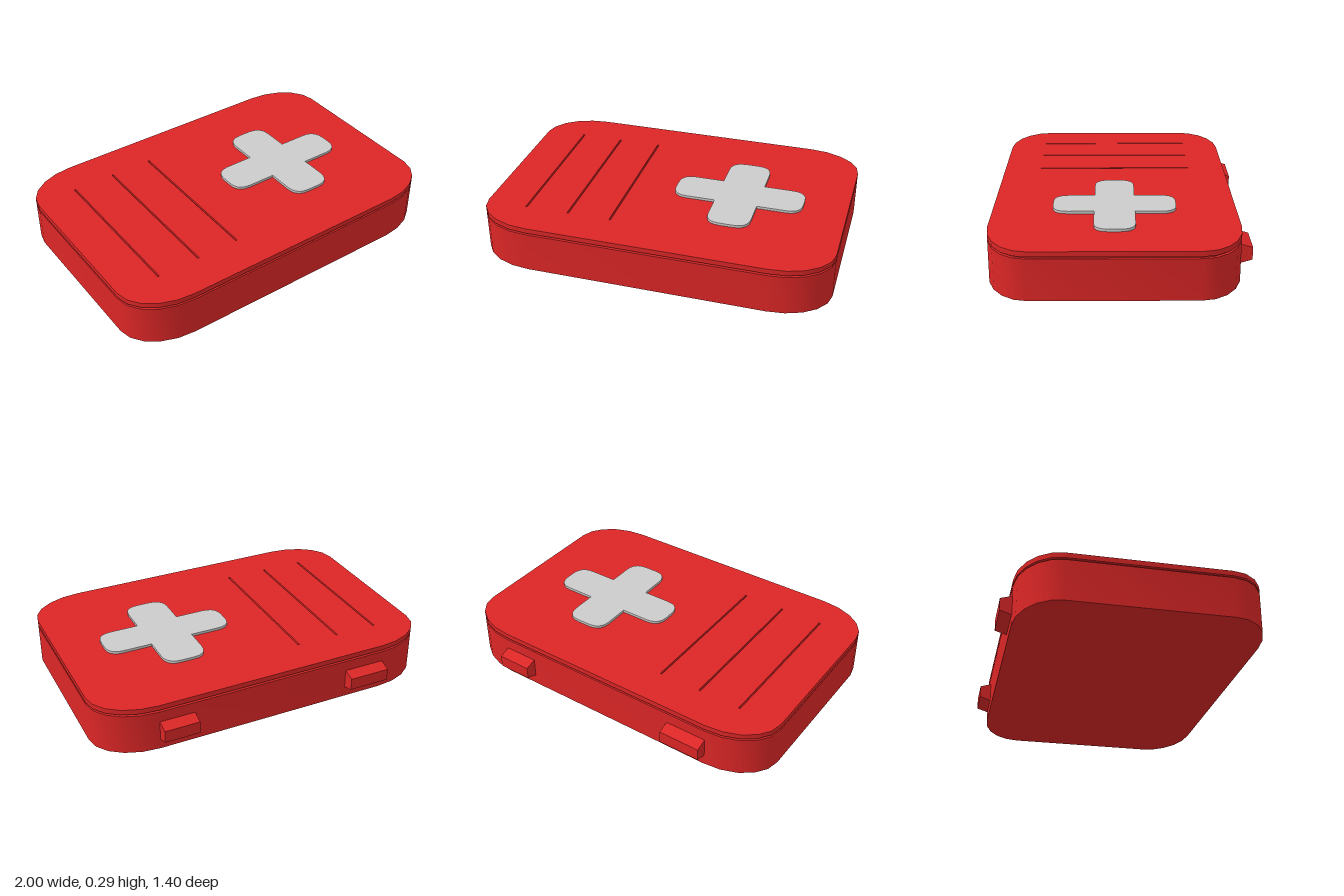
import * as THREE from 'three';
import { toCreasedNormals } from 'three/addons/utils/BufferGeometryUtils.js';

const CENTER_Z = 0.03;

// Closed outline with elliptical corners; shape y becomes model z
function roundedOutline(halfX, halfZ, rx, rz) {
  const points = [];
  const steps = 5;
  const corners = [[1, 1], [-1, 1], [-1, -1], [1, -1]];
  corners.forEach(([sx, sz], quarter) => {
    for (let i = 0; i <= steps; i++) {
      const a = (quarter + i / steps) * Math.PI / 2;
      points.push(new THREE.Vector2(
        sx * (halfX - rx) + rx * Math.cos(a),
        CENTER_Z + sz * (halfZ - rz) + rz * Math.sin(a)));
    }
  });
  return new THREE.Shape(points);
}

// Horizontal slab between two heights
function slab(name, shape, y0, y1, material) {
  const geometry = new THREE.ExtrudeGeometry(shape, { depth: y1 - y0, bevelEnabled: false, curveSegments: 5 });
  geometry.rotateX(Math.PI / 2);
  geometry.translate(0, y1, 0);
  const mesh = new THREE.Mesh(toCreasedNormals(geometry, 0.6), material);
  mesh.name = name;
  return mesh;
}

// Plus-shaped outline with rounded arm ends
function crossOutline(cx, cz, reachX, reachZ, halfX, halfZ, r) {
  const s = new THREE.Shape();
  s.moveTo(cx + halfX, cz + halfZ);
  s.lineTo(cx + halfX, cz + reachZ - r);
  s.quadraticCurveTo(cx + halfX, cz + reachZ, cx + halfX - r, cz + reachZ);
  s.lineTo(cx - halfX + r, cz + reachZ);
  s.quadraticCurveTo(cx - halfX, cz + reachZ, cx - halfX, cz + reachZ - r);
  s.lineTo(cx - halfX, cz + halfZ);
  s.lineTo(cx - reachX + r, cz + halfZ);
  s.quadraticCurveTo(cx - reachX, cz + halfZ, cx - reachX, cz + halfZ - r);
  s.lineTo(cx - reachX, cz - halfZ + r);
  s.quadraticCurveTo(cx - reachX, cz - halfZ, cx - reachX + r, cz - halfZ);
  s.lineTo(cx - halfX, cz - halfZ);
  s.lineTo(cx - halfX, cz - reachZ + r);
  s.quadraticCurveTo(cx - halfX, cz - reachZ, cx - halfX + r, cz - reachZ);
  s.lineTo(cx + halfX - r, cz - reachZ);
  s.quadraticCurveTo(cx + halfX, cz - reachZ, cx + halfX, cz - reachZ + r);
  s.lineTo(cx + halfX, cz - halfZ);
  s.lineTo(cx + reachX - r, cz - halfZ);
  s.quadraticCurveTo(cx + reachX, cz - halfZ, cx + reachX, cz - halfZ + r);
  s.lineTo(cx + reachX, cz + halfZ - r);
  s.quadraticCurveTo(cx + reachX, cz + halfZ, cx + reachX - r, cz + halfZ);
  s.closePath();
  return s;
}

// Tapered block on the back wall, spanning x0 to x1
function hinge(name, x0, x1, material) {
  const profile = new THREE.Shape([
    new THREE.Vector2(0.62, 0.055), new THREE.Vector2(0.64, 0.06),
    new THREE.Vector2(0.705, 0.08), new THREE.Vector2(0.705, 0.15),
    new THREE.Vector2(0.64, 0.17), new THREE.Vector2(0.62, 0.175)]);
  const geometry = new THREE.ExtrudeGeometry(profile, { depth: x1 - x0, bevelEnabled: false });
  geometry.rotateY(Math.PI / 2); // profile x runs towards -z, depth along +x
  geometry.translate(x0, 0, 0);
  const mesh = new THREE.Mesh(geometry, material);
  mesh.name = name;
  return mesh;
}

export function createModel() {
  const group = new THREE.Group();
  group.name = 'medicalCase';
  const red = new THREE.MeshStandardMaterial({ color: 0xdc2626 });
  const grey = new THREE.MeshStandardMaterial({ color: 0xcccccc });

  // Case body, recessed seam and lid
  const outline = () => roundedOutline(1, 0.67, 0.32, 0.23);
  group.add(slab('body', outline(), 0, 0.232, red));
  group.add(slab('seam', roundedOutline(0.985, 0.655, 0.31, 0.22), 0.232, 0.243, red));
  group.add(slab('lidBase', outline(), 0.243, 0.26, red));

  // Lid top with three narrow slots
  const top = outline();
  for (const x of [-0.76, -0.51, -0.26]) {
    const [a, b, z0, z1] = [x - 0.005, x + 0.005, -0.425, 0.485];
    top.holes.push(new THREE.Path([
      new THREE.Vector2(a, z0), new THREE.Vector2(a, z1),
      new THREE.Vector2(b, z1), new THREE.Vector2(b, z0)]));
  }
  group.add(slab('lidTop', top, 0.26, 0.272, red));

  // Raised cross on the lid
  group.add(slab('cross', crossOutline(0.375, CENTER_Z, 0.375, 0.34, 0.123, 0.112, 0.085), 0.268, 0.287, grey));

  // Hinges at the back
  group.add(hinge('rightHinge', -0.685, -0.445, red));
  group.add(hinge('leftHinge', 0.48, 0.68, red));
  return group;
}
